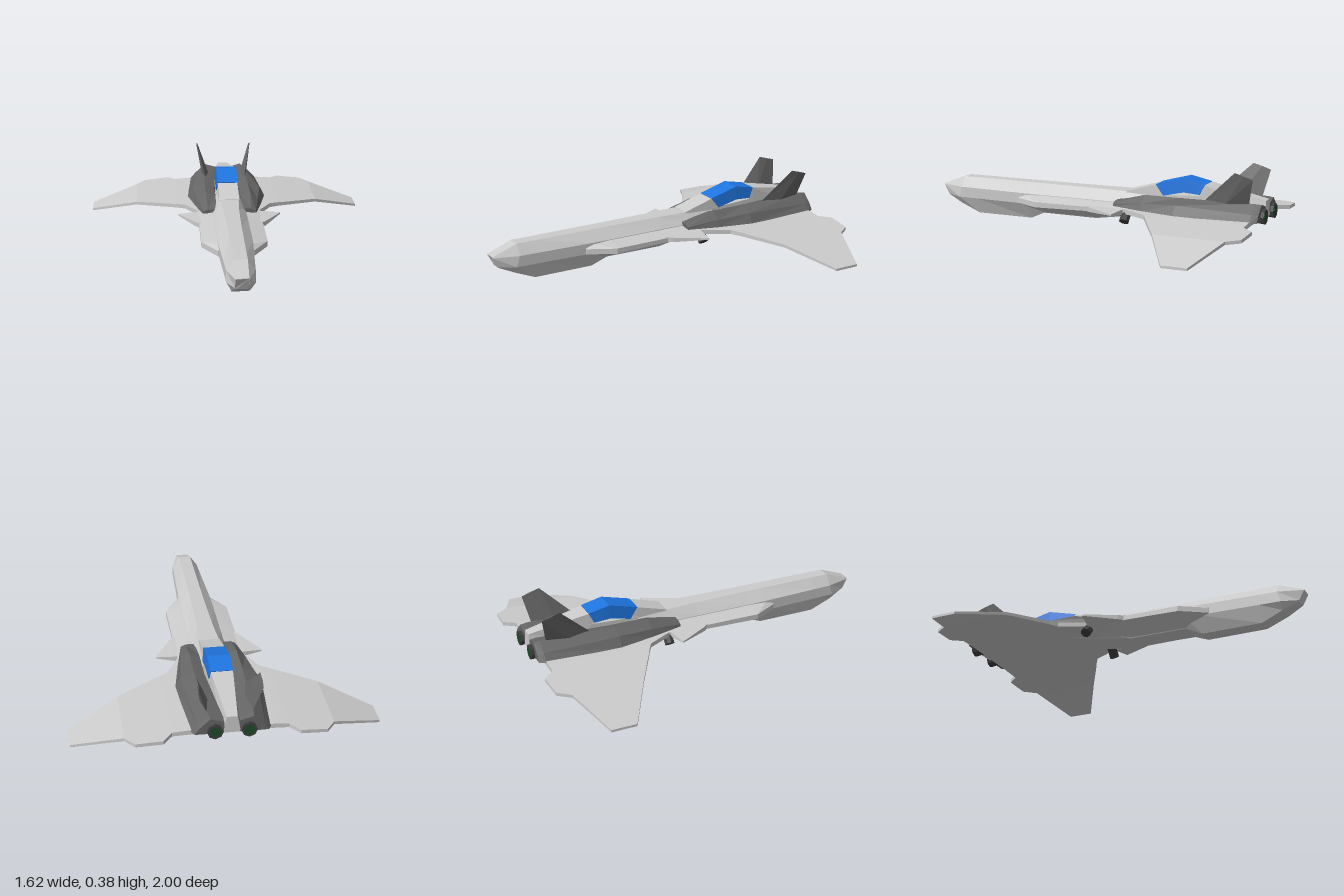
import * as THREE from 'three';

const mat = (color) => new THREE.MeshStandardMaterial({ color, flatShading: true });
const grey = mat(0xcccccc), dark = mat(0x666666), blue = mat(0x1f75e0);
const black = mat(0x404040), glow = mat(0x1f4a2a);

// Skin a row of equal-length cross-section loops and cap both ends.
function loft(name, loops, material) {
  const tris = [], n = loops[0].length;
  for (let i = 0; i + 1 < loops.length; i++) {
    for (let j = 0; j < n; j++) {
      const k = (j + 1) % n, a = loops[i], b = loops[i + 1];
      tris.push([a[j], a[k], b[k]], [a[j], b[k], b[j]]);
    }
  }
  const first = loops[0], last = loops[loops.length - 1];
  for (let j = 1; j + 1 < n; j++) {
    tris.push([first[0], first[j + 1], first[j]], [last[0], last[j], last[j + 1]]);
  }
  // Turn the faces outward if the enclosed volume is negative
  const v = (p) => new THREE.Vector3(...p);
  const volume = tris.reduce((s, [a, b, c]) => s + v(a).dot(v(b).cross(v(c))), 0);
  if (volume < 0) tris.forEach((t) => t.reverse());
  const geo = new THREE.BufferGeometry();
  geo.setAttribute('position', new THREE.Float32BufferAttribute(tris.flat(2), 3));
  geo.computeVertexNormals();
  const mesh = new THREE.Mesh(geo, material);
  mesh.name = name;
  return mesh;
}

// Close a right-hand half outline into a symmetric loop.
const mirrorLoop = (half) => [...half, ...half.slice().reverse().map(([x, y, z]) => [-x, y, z])];

export function createModel() {
  const model = new THREE.Group();
  model.name = 'spacecraft';

  // Fuselage: z top, z bottom, top half-width, top y, side half-width,
  // upper side y, lower side y, bottom half-width, bottom y
  const fuselage = [
    [1.0, 0.97, 0.033, 0.16, 0.036, 0.155, 0.1, 0.03, 0.095],
    [0.86, 0.88, 0.035, 0.212, 0.075, 0.155, 0.095, 0.047, 0.055],
    [0.76, 0.76, 0.035, 0.212, 0.079, 0.155, 0.095, 0.043, 0.004],
    [0.42, 0.42, 0.038, 0.212, 0.094, 0.155, 0.095, 0.045, 0.004],
    [0.33, 0.33, 0.038, 0.212, 0.095, 0.155, 0.095, 0.06, 0.045],
    [0.0, 0.0, 0.045, 0.212, 0.095, 0.155, 0.095, 0.065, 0.045],
    [-0.19, -0.19, 0.055, 0.212, 0.095, 0.155, 0.1, 0.065, 0.075],
    [-0.42, -0.42, 0.055, 0.212, 0.09, 0.155, 0.118, 0.06, 0.115],
  ];
  model.add(loft('fuselage', fuselage.map(([z, zl, tw, ty, mw, uy, ly, bw, by]) =>
    mirrorLoop([[tw, ty, z], [mw, uy, z], [mw, ly, zl], [bw, by, zl]])), grey));

  // Wing: half-span x, leading z, trailing z, top y, thickness
  const ribs = [
    [0, -0.2, -0.94, 0.138, 0.026], [0.18, -0.22, -0.94, 0.138, 0.026],
    [0.25, -0.36, -0.94, 0.134, 0.024], [0.3, -0.39, -0.94, 0.13, 0.022],
    [0.35, -0.417, -1.0, 0.125, 0.02], [0.49, -0.497, -0.99, 0.112, 0.018],
    [0.54, -0.526, -0.92, 0.107, 0.017], [0.81, -0.68, -0.82, 0.024, 0.013],
  ];
  const rib = (s) => ([x, zl, zt, y, t]) =>
    [[s * x, y, zl], [s * x, y, zt], [s * x, y - t, zt], [s * x, y - t, zl]];
  model.add(loft('wing', [...ribs.slice(1).reverse().map(rib(-1)), ...ribs.map(rib(1))], grey));

  // Raised spine in front of and behind the canopy
  const spineLoop = ([z, wt, y, wb, yb]) => mirrorLoop([[wt, y, z], [wb, yb, z]]);
  model.add(loft('windscreenFairing', [
    [-0.18, 0.058, 0.214, 0.062, 0.14], [-0.355, 0.058, 0.265, 0.066, 0.14],
    [-0.4, 0.06, 0.21, 0.066, 0.14],
  ].map(spineLoop), grey));
  model.add(loft('cockpitBase', [
    [-0.355, 0.064, 0.21, 0.066, 0.13], [-0.64, 0.064, 0.225, 0.066, 0.13],
  ].map(spineLoop), grey));
  model.add(loft('rearSpine', [
    [-0.61, 0.062, 0.23, 0.066, 0.13], [-0.64, 0.058, 0.285, 0.066, 0.13],
    [-0.975, 0.028, 0.222, 0.045, 0.13],
  ].map(spineLoop), grey));

  // Faceted canopy
  model.add(loft('canopy', [
    [[-0.355, 0.059, 0.267], [-0.4, 0.067, 0.208]],
    [[-0.52, 0.06, 0.312], [-0.52, 0.068, 0.236]],
    [[-0.64, 0.058, 0.287], [-0.612, 0.067, 0.23]],
  ].map((s) => mirrorLoop(s.map(([z, x, y]) => [x, y, z]))), blue));

  for (const s of [1, -1]) {
    const side = new THREE.Group();
    side.name = s > 0 ? 'leftSideParts' : 'rightSideParts';
    const at = (z, pts) => pts.map(([x, y]) => [s * x, y, z]);

    // Side strake along the fuselage
    side.add(loft('strake', [
      at(0.475, [[0.05, 0.155], [0.098, 0.127], [0.098, 0.097], [0.05, 0.08]]),
      at(0.33, [[0.09, 0.153], [0.18, 0.13], [0.18, 0.1], [0.058, 0.047]]),
      at(0.0, [[0.09, 0.153], [0.18, 0.132], [0.18, 0.108], [0.06, 0.047]]),
      at(-0.21, [[0.09, 0.153], [0.18, 0.136], [0.18, 0.112], [0.06, 0.08]]),
      at(-0.4, [[0.09, 0.15], [0.16, 0.136], [0.16, 0.113], [0.06, 0.113]]),
    ], grey));

    // Small swept foreplane
    const plate = (x, zf, zb, y, t) =>
      [[s * x, y + t, zf], [s * x, y + t, zb], [s * x, y - t, zb], [s * x, y - t, zf]];
    side.add(loft('foreplane', [
      plate(0.17, 0.02, -0.21, 0.122, 0.014), plate(0.2, -0.015, -0.205, 0.122, 0.013),
      plate(0.295, -0.185, -0.19, 0.126, 0.004),
    ], grey));

    // Engine nacelle beside the canopy
    side.add(loft('nacelle', [
      at(-0.14, [[0.076, 0.145], [0.155, 0.145], [0.152, 0.158], [0.125, 0.17], [0.076, 0.17]]),
      at(-0.32, [[0.066, 0.135], [0.193, 0.14], [0.177, 0.178], [0.13, 0.218], [0.074, 0.2]]),
      at(-0.52, [[0.06, 0.13], [0.23, 0.138], [0.2, 0.19], [0.13, 0.218], [0.074, 0.2]]),
      at(-0.94, [[0.04, 0.125], [0.207, 0.13], [0.172, 0.17], [0.115, 0.218], [0.04, 0.2]]),
      at(-0.975, [[0.04, 0.128], [0.19, 0.13], [0.165, 0.165], [0.11, 0.215], [0.04, 0.195]]),
    ], dark));

    // Outward-canted tail fin
    const finLoop = (x, y, t, zf, zb, drop) => [
      [s * x, y, zf], [s * (x + t), y - drop / 2, (zf + zb) / 2],
      [s * x, y - drop, zb], [s * (x - t), y - drop / 2, (zf + zb) / 2]];
    side.add(loft('tailFin', [
      finLoop(0.113, 0.195, 0.022, -0.64, -0.905, 0),
      finLoop(0.163, 0.385, 0.004, -0.84, -0.94, 0.03),
    ], dark));

    // Eight-sided exhaust nozzle with a recessed core
    const nozzle = new THREE.Mesh(new THREE.CylinderGeometry(0.042, 0.036, 0.06, 8), black);
    nozzle.name = 'nozzle';
    nozzle.rotation.x = -Math.PI / 2;
    nozzle.position.set(s * 0.087, 0.148, -0.963);
    const core = new THREE.Mesh(new THREE.CylinderGeometry(0.03, 0.03, 0.01, 8), glow);
    core.name = 'exhaustCore';
    core.rotation.x = Math.PI / 2;
    core.position.set(s * 0.087, 0.148, -0.99);
    side.add(nozzle, core);

    // Tilted pod under the wing root
    const pod = new THREE.Mesh(new THREE.CylinderGeometry(0.028, 0.028, 0.065, 8), black);
    pod.name = 'underwingPod';
    pod.rotation.z = s * 0.7;
    pod.position.set(s * 0.167, 0.095, -0.22);
    side.add(pod);
    model.add(side);
  }
  return model;
}
